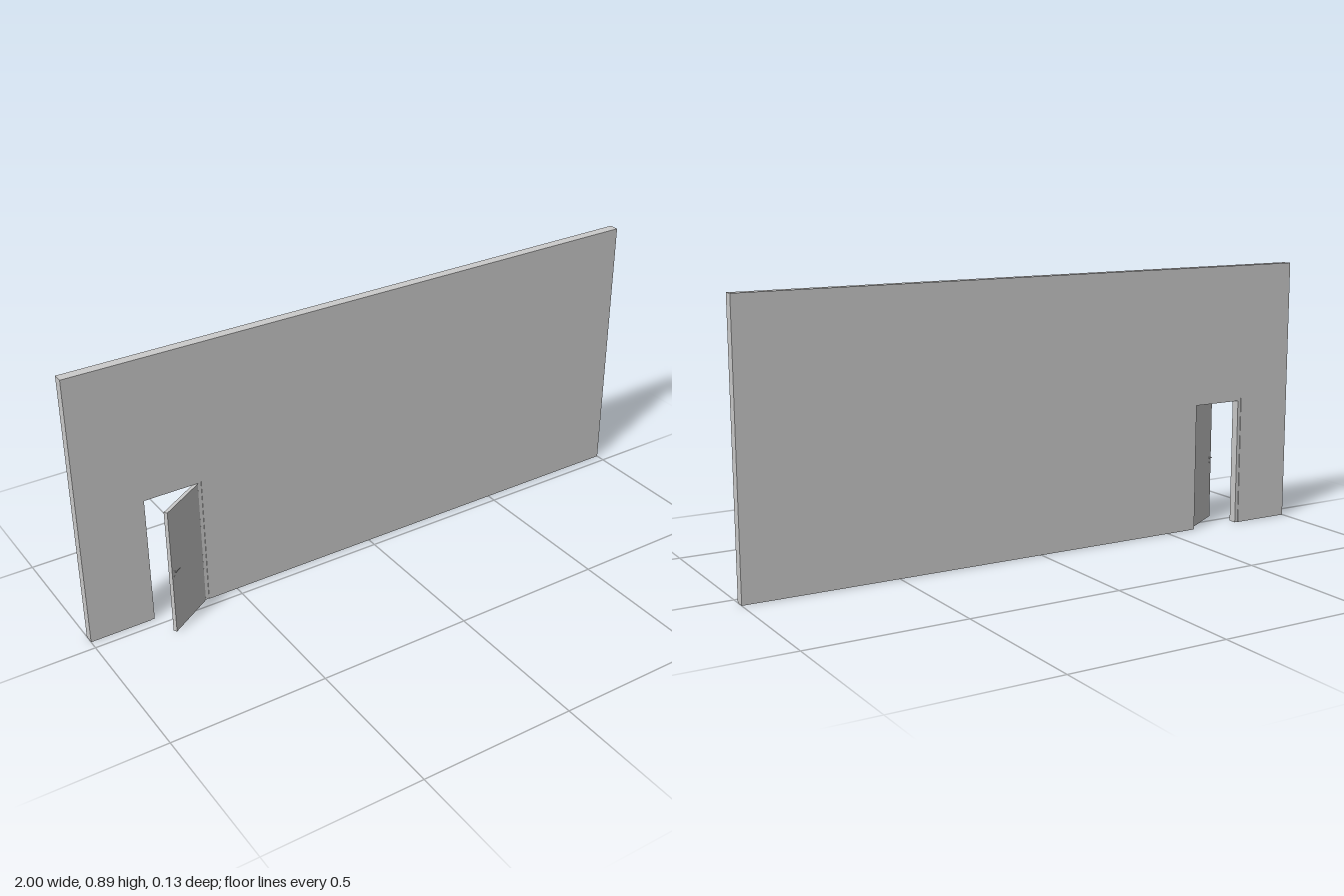
import * as THREE from 'three';

const grey = new THREE.MeshStandardMaterial({ color: 0xcccccc, flatShading: true });
const smooth = new THREE.MeshStandardMaterial({ color: 0xcccccc });

function add(parent, name, geometry, x, y, z, material = grey) {
  const mesh = new THREE.Mesh(geometry, material);
  mesh.name = name;
  mesh.position.set(x, y, z);
  parent.add(mesh);
  return mesh;
}

// Upside-down U running round a doorway, extruded to the given depth
function doorway(points, depth) {
  const shape = new THREE.Shape(points.map(([x, y]) => new THREE.Vector2(x, y)));
  return new THREE.ExtrudeGeometry(shape, { depth, bevelEnabled: false });
}

export function createModel() {
  const model = new THREE.Group();
  const H = 0.89, back = -0.064, front = -0.032;
  const outL = -0.8, outR = -0.6, outTop = 0.438; // opening in the wall
  const inL = -0.788, inR = -0.611, inTop = 0.428; // inside of the frame

  // Wall with the doorway cut out
  add(model, 'wall', doorway([
    [-1, 0], [outL, 0], [outL, outTop], [outR, outTop],
    [outR, 0], [1, 0], [1, H], [-1, H],
  ], front - back), 0, 0, back);

  // Frame lining the doorway, set just inside the wall faces
  add(model, 'doorFrame', doorway([
    [outL, 0], [inL, 0], [inL, inTop], [inR, inTop],
    [inR, 0], [outR, 0], [outR, outTop], [outL, outTop],
  ], front - back - 0.004), 0, 0, back + 0.002);

  // Door swung open on its hinge edge
  const door = new THREE.Group();
  door.name = 'door';
  door.position.set(-0.612, 0, -0.032);
  door.rotation.y = THREE.MathUtils.degToRad(32.7);
  model.add(door);
  const L = 0.176, T = 0.012, doorH = 0.428;
  add(door, 'doorLeaf', new THREE.BoxGeometry(L, doorH, T), -L / 2, doorH / 2, -T / 2);

  // Lever handle and keyhole plate on both faces
  for (const side of [1, -1]) {
    const face = side > 0 ? 0 : -T;
    const disc = (name, r, len, y) => {
      const m = add(door, name, new THREE.CylinderGeometry(r, r, len, 16), -0.164, y, face + side * len / 2, smooth);
      m.rotation.x = Math.PI / 2;
    };
    disc('handleRose', 0.0035, 0.001, 0.215);
    disc('handleStem', 0.0015, 0.007, 0.215);
    disc('keyholePlate', 0.003, 0.001, 0.197);
    const lever = add(door, 'handleLever', new THREE.CapsuleGeometry(0.0015, 0.022, 4, 10), -0.153, 0.215, face + side * 0.007, smooth);
    lever.rotation.z = Math.PI / 2;
  }

  return model;
}
